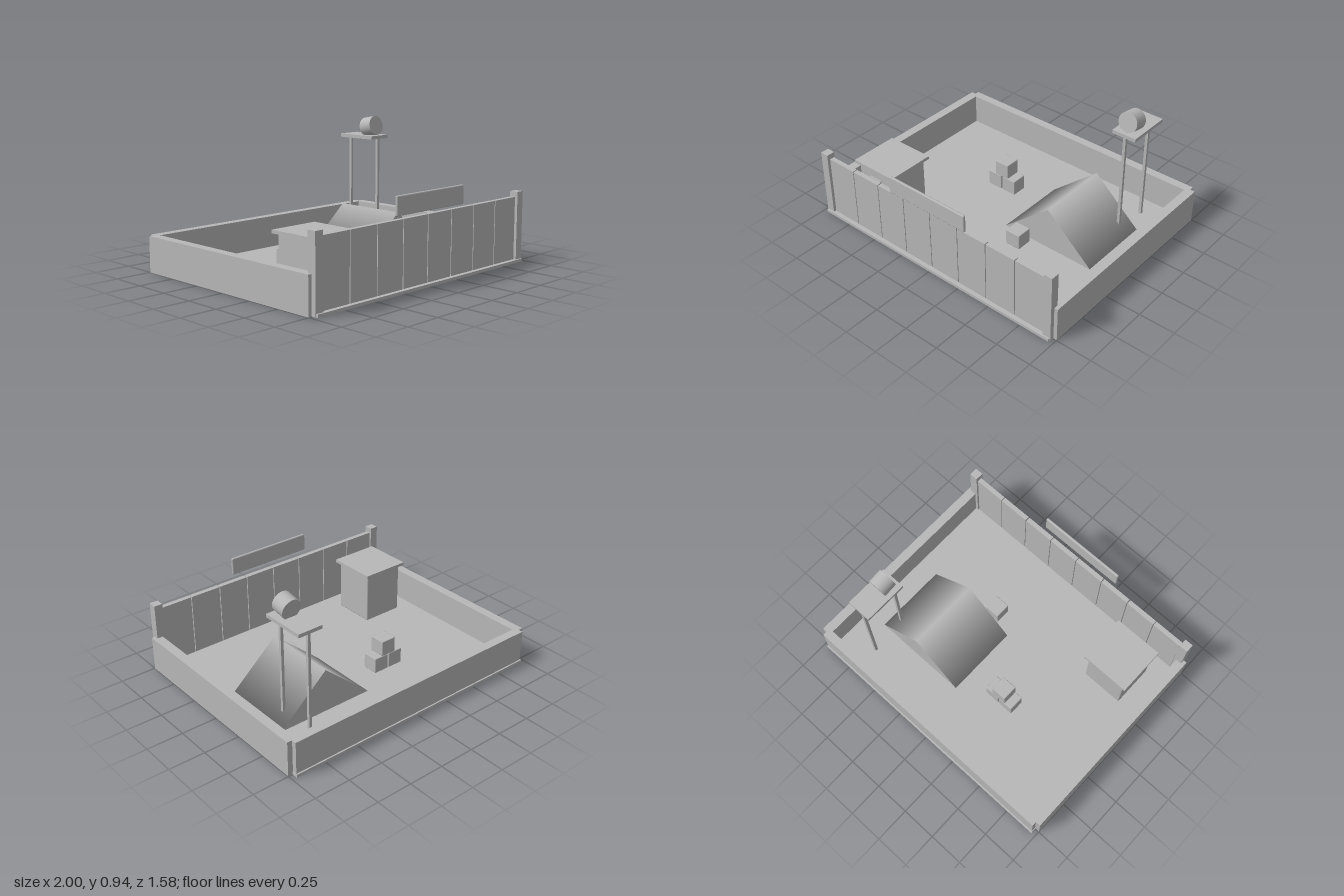
import * as THREE from 'three';
import { RoundedBoxGeometry } from 'three/addons/geometries/RoundedBoxGeometry.js';

export function createModel() {
  const model = new THREE.Group();
  const grey = new THREE.MeshStandardMaterial({ color: 0xb8b8b8 });
  grey.name = 'plainGrey';

  const add = (name, geometry, parent = model) => {
    const mesh = new THREE.Mesh(geometry, grey);
    mesh.name = name;
    parent.add(mesh);
    return mesh;
  };

  // Box given by its lower and upper limits on each axis; bevel softens the edges
  const box = (name, x0, x1, y0, y1, z0, z1, bevel = 0, parent = model) => {
    const size = [x1 - x0, y1 - y0, z1 - z0];
    const geometry = bevel
      ? new RoundedBoxGeometry(...size, 1, bevel)
      : new THREE.BoxGeometry(...size);
    const mesh = add(name, geometry, parent);
    mesh.position.set((x0 + x1) / 2, (y0 + y1) / 2, (z0 + z1) / 2);
    return mesh;
  };

  const group = (name) => {
    const g = new THREE.Group();
    g.name = name;
    model.add(g);
    return g;
  };

  // Ground slab and low walls
  const floor = 0.02;
  box('groundSlab', -0.97, 0.97, 0, floor, -0.79, 0.79);
  box('backWall', -0.965, 0.965, 0, 0.242, -0.78, -0.718);
  for (const s of [-1, 1]) {
    const wall = box('sideWall', 0.935, 1, 0, 0.242, -0.747, 0.747);
    wall.position.x *= s;
    const post = box('gatePost', 0.915, 0.975, 0, 0.485, 0.717, 0.777);
    post.position.x *= s;
  }

  // Front fence made of eight separate panels
  const fence = group('frontFence');
  const pitch = 1.828 / 8;
  for (let i = 0; i < 8; i++) {
    const x = -0.914 + i * pitch;
    box('fencePanel', x + 0.003, x + pitch - 0.003, floor, 0.45, 0.727, 0.76, 0, fence);
  }

  // Sign board above the fence
  box('signBoard', -0.318, 0.315, 0.478, 0.602, 0.768, 0.788, 0.008);

  // Hut with flat roof and door
  const hut = group('hut');
  box('hutBody', -0.81, -0.51, floor, 0.378, 0.288, 0.592, 0.008, hut);
  box('hutRoof', -0.835, -0.485, 0.38, 0.402, 0.263, 0.613, 0, hut);
  box('hutDoor', -0.71, -0.61, floor, 0.318, 0.59, 0.603, 0, hut);

  // Ridge tent: three-sided prism along z
  const tentShape = new THREE.CylinderGeometry(1, 1, 0.53, 3, 1, false, Math.PI);
  tentShape.rotateX(Math.PI / 2);
  tentShape.scale(0.404, 0.2035, 1);
  add('tent', tentShape).position.set(0.436, floor + 0.1018, -0.135);

  // Crates: a stack of three and a single one
  const crates = group('crates');
  const crateSpots = [[-0.265, 0, -0.222], [-0.145, 0, -0.222], [-0.205, 1, -0.222], [0.26, 0, 0.215]];
  for (const [x, level, z] of crateSpots) {
    const y = floor + level * 0.11;
    box('crate', x - 0.056, x + 0.056, y, y + 0.11, z - 0.056, z + 0.056, 0.005, crates);
  }

  // Light tower: two legs, platform and tilted lamp
  const tower = group('lightTower');
  for (const z of [-0.306, -0.571]) {
    box('towerLeg', 0.69, 0.71, floor, 0.782, z - 0.01, z + 0.01, 0, tower);
  }
  box('towerPlatform', 0.613, 0.787, 0.781, 0.805, -0.595, -0.285, 0, tower);
  const lamp = add('lamp', new THREE.CylinderGeometry(0.069, 0.069, 0.1, 24), tower);
  lamp.rotation.x = Math.PI / 2 - 0.18;
  lamp.position.set(0.7, 0.868, -0.37);

  return model;
}
